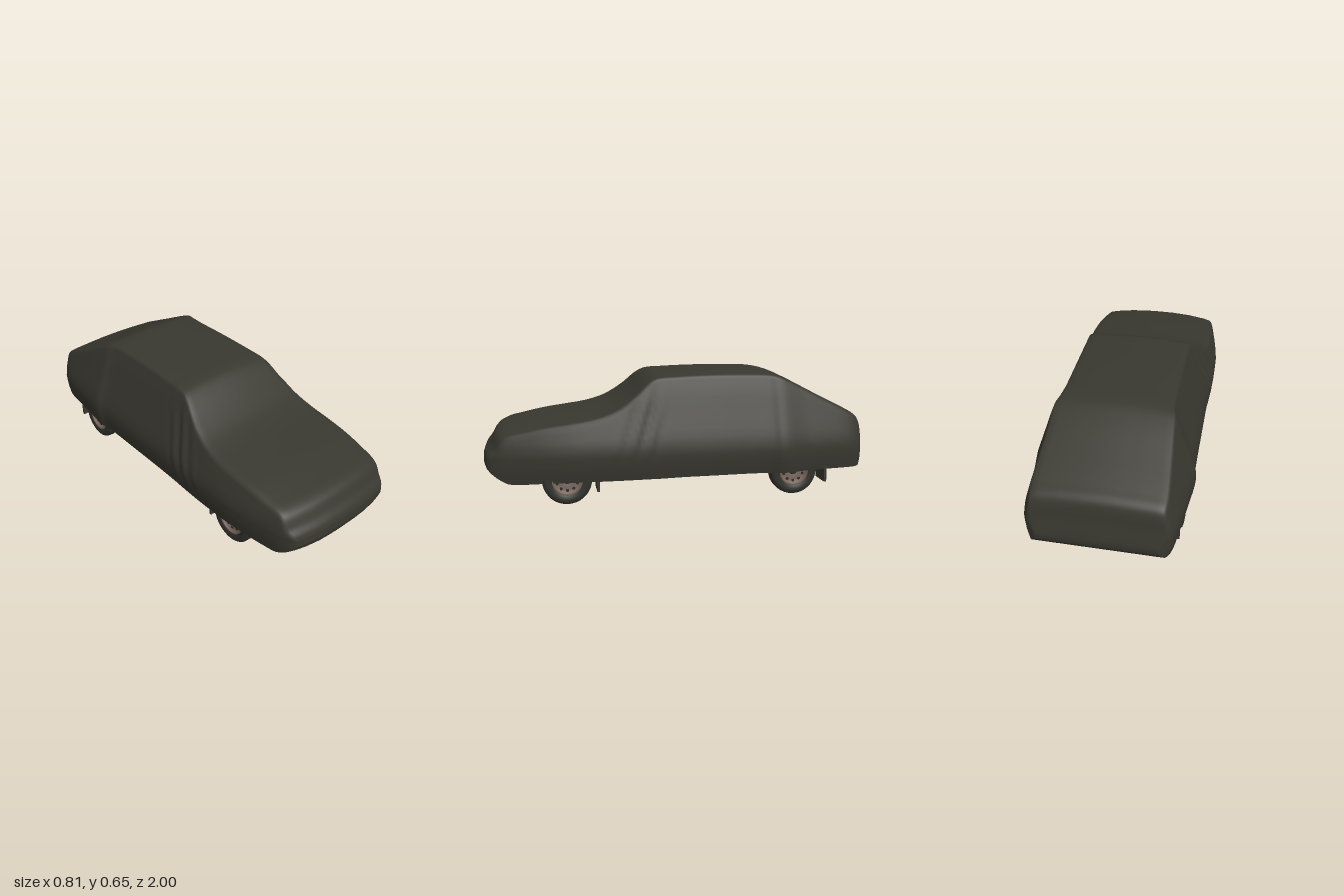
import * as THREE from 'three';

const material = (name, color, side = THREE.FrontSide) => {
  const m = new THREE.MeshStandardMaterial({ color, side });
  m.name = name;
  return m;
};
const mats = {
  cloth: material('cover cloth', 0x393830, THREE.DoubleSide),
  under: material('underbody black', 0x20211e, THREE.DoubleSide),
  rubber: material('tyre rubber', 0x31312c),
  steel: material('dull wheel steel', 0x75645a),
  dark: material('dark metal', 0x2d2e2a),
  rust: material('rusty exhaust', 0x6a3d2d),
  brown: material('brown primer', 0x4a2c22),
};

// Stations along the car: z, top height, hem height, width factor
const stations = [
  [1.0, 0.235, 0.195, 0.75], [0.99, 0.262, 0.17, 0.79], [0.965, 0.295, 0.145, 0.83],
  [0.935, 0.345, 0.125, 0.858], [0.9, 0.366, 0.11, 0.878], [0.82, 0.383, 0.108, 0.91],
  [0.7, 0.405, 0.112, 0.95], [0.55, 0.425, 0.115, 0.985], [0.44, 0.443, 0.115, 0.992],
  [0.34, 0.475, 0.115, 0.992], [0.24, 0.537, 0.115, 0.985], [0.155, 0.61, 0.115, 0.975],
  [0.11, 0.632, 0.115, 0.972], [0.0, 0.64, 0.118, 0.97], [-0.18, 0.645, 0.12, 0.97],
  [-0.38, 0.643, 0.122, 0.97], [-0.48, 0.64, 0.122, 0.975], [-0.53, 0.63, 0.122, 1.0],
  [-0.6, 0.6, 0.124, 0.985], [-0.75, 0.523, 0.127, 0.945], [-0.9, 0.447, 0.128, 0.902],
  [-0.95, 0.42, 0.128, 0.868], [-0.972, 0.39, 0.13, 0.835], [-0.985, 0.3, 0.14, 0.79],
  [-0.997, 0.225, 0.165, 0.74], [-1.0, 0.2, 0.185, 0.71],
];

// Half width of the body at each height
const side = [[0.08, 0.375], [0.12, 0.386], [0.18, 0.4], [0.25, 0.407], [0.3, 0.398], [0.36, 0.378],
  [0.44, 0.35], [0.52, 0.323], [0.58, 0.302], [0.62, 0.285], [0.7, 0.26]];
function sideWidth(y) {
  for (let i = 1; i < side.length; i++) {
    const [y0, w0] = side[i - 1], [y1, w1] = side[i];
    if (y <= y1) return w0 + (w1 - w0) * Math.max(0, (y - y0) / (y1 - y0));
  }
  return side[side.length - 1][1];
}
const crown = [[0.985, 0.024], [0.95, 0.016], [0.85, 0.011], [0.55, 0.005], [0.25, 0.001]];

const heights = new THREE.CatmullRomCurve3(stations.map(([z, t, b]) => new THREE.Vector3(z, t, b)));
const widths = new THREE.CatmullRomCurve3(stations.map(([z, , , s]) => new THREE.Vector3(z, s, 0)));
const STEPS = 125;
const { smoothstep } = THREE.MathUtils;

// The nose bows back towards its corners
const bow = (x, z) => z - 0.05 * smoothstep(z, 0.6, 1) * Math.abs(x / 0.35) ** 3;

// The cloth is pulled a little tighter on the left, except at the rear crease
const leftPull = (z) => 1 - 0.022 * smoothstep(Math.abs(z + 0.53), 0.02, 0.15);

// Diagonal cloth folds hanging from the windscreen corner
function fold(y, z) {
  const along = z - 0.12 - (0.6 - y) * 0.35;
  const fade = smoothstep(y, 0.15, 0.3) * (1 - smoothstep(y, 0.45, 0.58));
  return 0.005 * Math.sin(along * 75) * Math.exp(-((along / 0.1) ** 2)) * fade;
}

function section(k) {
  const { x: z, y: top, z: hem } = heights.getPoint(k / STEPS);
  const s = widths.getPoint(k / STEPS).y;
  const soft = Math.min(1, (top - hem) / 0.15);
  const edge = top - 0.036 * soft;
  const half = [];
  for (let i = 0; i <= 12; i++) {
    const y = hem + (edge - hem) * i / 12;
    half.push([sideWidth(y) * s + fold(y, z), y]);
  }
  const w = half[12][0];
  crown.forEach(([f, d]) => half.push([w * f, top - d * soft]));
  const left = half.map(([x, y]) => [x * leftPull(z), y]);
  const ring = [...left, [0, top], ...half.map(([x, y]) => [-x, y]).reverse()];
  return ring.map(([x, y]) => [x, y, bow(x, z)]);
}

// End section pressed flat onto its hem, closing the nose or tail
const closedEnd = (k) => section(k).map(([x, , z], i, ring) => [x, ring[0][1], z]);

// Sheet spanning the hem, sagging or lifted in the middle
function underRow(k, lift) {
  const ring = section(k), [x, y] = ring[0];
  const z = heights.getPoint(k / STEPS).x;
  const power = lift > 0 ? 12 : 2;
  return [-1, -0.92, -0.75, -0.5, -0.25, 0, 0.25, 0.5, 0.75, 0.92, 1].map((f) => {
    const px = f * (f > 0 ? x : -ring[ring.length - 1][0]);
    return [px, y + lift * (1 - Math.abs(f) ** power), bow(px, z)];
  });
}
const floorLift = (k) => (-0.021 + 0.05 * smoothstep(k, 22, 28)) * (1 - smoothstep(k, 103, 108));

function surface(rows) {
  const n = rows[0].length, index = [];
  for (let j = 0; j < rows.length - 1; j++) for (let i = 0; i < n - 1; i++) {
    const a = j * n + i, b = a + n;
    index.push(a, b, a + 1, a + 1, b, b + 1);
  }
  const g = new THREE.BufferGeometry();
  g.setAttribute('position', new THREE.Float32BufferAttribute(rows.flat(2), 3));
  g.setIndex(index);
  g.computeVertexNormals();
  return g;
}

function add(parent, name, geometry, mat, x = 0, y = 0, z = 0) {
  const mesh = new THREE.Mesh(geometry, mat);
  mesh.name = name;
  mesh.position.set(x, y, z);
  parent.add(mesh);
  return mesh;
}
const box = (w, h, d) => new THREE.BoxGeometry(w, h, d);
const rod = (points, r) => new THREE.TubeGeometry(
  new THREE.CatmullRomCurve3(points.map((p) => new THREE.Vector3(...p)), false, 'catmullrom', 0.15), 40, r, 10);
const range = (a, b) => Array.from({ length: b - a + 1 }, (_, i) => a + i);

// Wheel axis runs along y, outer face towards +y, before being laid on its side
function makeWheel() {
  const wheel = new THREE.Group();
  const lathe = (pts) => new THREE.LatheGeometry(pts.map(([r, y]) => new THREE.Vector2(r, y)), 36);
  add(wheel, 'tyre', lathe([[0.074, -0.025], [0.078, -0.036], [0.1, -0.039], [0.116, -0.035], [0.123, -0.026],
    [0.125, -0.012], [0.125, 0.012], [0.123, 0.026], [0.116, 0.035], [0.1, 0.039], [0.078, 0.036], [0.074, 0.025]]), mats.rubber);
  add(wheel, 'rim', lathe([[0, -0.02], [0.055, -0.02], [0.076, -0.034], [0.08, -0.03], [0.08, 0.03],
    [0.076, 0.037], [0.069, 0.034], [0.064, 0.018], [0.045, 0.024], [0.028, 0.016], [0, 0.016]]), mats.steel);
  add(wheel, 'hub', new THREE.CylinderGeometry(0.018, 0.022, 0.016, 16), mats.dark, 0, 0.022, 0);
  for (let i = 0; i < 10; i++) {
    const a = i * Math.PI / 5;
    add(wheel, 'rimSlot', new THREE.CylinderGeometry(0.008, 0.008, 0.008, 10), mats.dark,
      Math.cos(a) * 0.053, 0.0195, Math.sin(a) * 0.053);
  }
  return wheel;
}

export function createModel() {
  const car = new THREE.Group();
  car.name = 'coveredCar';

  // Cloth cover with its tucked ends
  const cover = new THREE.Group();
  cover.name = 'cover';
  car.add(cover);
  add(cover, 'coverShell', surface([closedEnd(0), ...range(0, STEPS).map(section), closedEnd(STEPS)]), mats.cloth);
  add(cover, 'frontTuck', surface(range(0, 18).map((k) => underRow(k, -0.021 * k / 18))), mats.cloth);
  add(cover, 'rearTuck', surface(range(108, STEPS).map((k) => underRow(k, 0))), mats.cloth);

  // Floor pan and chassis
  const chassis = new THREE.Group();
  chassis.name = 'chassis';
  car.add(chassis);
  add(chassis, 'floorPan', surface(range(18, 108).map((k) => underRow(k, floorLift(k)))), mats.under);
  add(chassis, 'frontLip', rod([[-0.26, 0.096, 0.81], [0, 0.092, 0.83], [0.26, 0.096, 0.81]], 0.005), mats.steel);
  add(chassis, 'engineSump', box(0.2, 0.04, 0.2), mats.dark, -0.02, 0.132, 0.62);
  add(chassis, 'gearbox', box(0.1, 0.035, 0.22), mats.dark, -0.02, 0.134, 0.41);
  add(chassis, 'fuelTank', box(0.26, 0.02, 0.18), mats.dark, -0.12, 0.15, -0.83);
  add(chassis, 'floorPatch', box(0.085, 0.016, 0.2), mats.brown, -0.281, 0.134, 0.25);
  add(chassis, 'floorPatch', box(0.14, 0.016, 0.1), mats.brown, -0.06, 0.146, -0.34);
  for (const s of [1, -1]) {
    add(chassis, 'sill', box(0.02, 0.03, 0.84), mats.dark, s * 0.338, 0.133, 0);
    add(chassis, 'sillSide', box(0.006, 0.029, 0.84), mats.steel, s * 0.351, 0.1335, 0);
    add(chassis, 'frameRail', box(0.04, 0.03, 0.75), mats.dark, s * 0.215, 0.134, 0.03);
    add(chassis, 'jackingBlock', box(0.04, 0.03, 0.17), mats.dark, s * 0.22, 0.108, 0.115);
    add(chassis, 'trailingArm', box(0.03, 0.025, 0.26), mats.dark, s * 0.25, 0.132, -0.48);
    add(chassis, 'frontArm', rod([[s * 0.1, 0.125, 0.5], [s * 0.3, 0.118, 0.58]], 0.011), mats.dark);
  }
  for (const z of [-0.42, -0.1, 0.3]) add(chassis, 'crossMember', box(0.44, 0.016, 0.035), mats.dark, 0, 0.14, z);
  add(chassis, 'frontAxle', rod([[-0.31, 0.125, 0.58], [0.31, 0.125, 0.58]], 0.012), mats.dark);
  add(chassis, 'rearAxle', rod([[-0.31, 0.125, -0.6], [0.31, 0.125, -0.6]], 0.016), mats.dark);

  // Exhaust with middle and rear silencers
  const exhaust = new THREE.Group();
  exhaust.name = 'exhaust';
  car.add(exhaust);
  add(exhaust, 'exhaustPipe', rod([[0.12, 0.122, 0.66], [0.1, 0.118, 0.5], [0.02, 0.118, 0.25], [0, 0.118, 0.1],
    [-0.03, 0.118, -0.22], [0.12, 0.119, -0.43], [0.14, 0.143, -0.6], [0.2, 0.145, -0.75]], 0.013), mats.rust);
  const middle = add(exhaust, 'middleSilencer', new THREE.CylinderGeometry(0.036, 0.036, 0.17, 20), mats.rust, 0.005, 0.119, 0.115);
  middle.rotation.x = Math.PI / 2;
  middle.scale.z = 0.6;
  const rear = add(exhaust, 'rearSilencer', new THREE.CylinderGeometry(0.046, 0.046, 0.22, 20), mats.rust, 0.2, 0.15, -0.83);
  rear.rotation.x = Math.PI / 2;
  rear.scale.z = 0.6;

  // Wheels and mud flaps
  for (const [end, z, flapZ] of [['front', 0.58, 0.425], ['rear', -0.6, -0.775]]) for (const s of [1, -1]) {
    const wheel = makeWheel();
    wheel.name = end + 'Wheel';
    wheel.rotation.z = -s * Math.PI / 2;
    wheel.position.set(s * 0.328, 0.125, z);
    car.add(wheel);
    add(car, end + 'MudFlap', box(0.122, 0.085, 0.014), mats.cloth, s * 0.301, 0.1025, flapZ);
  }
  return car;
}
